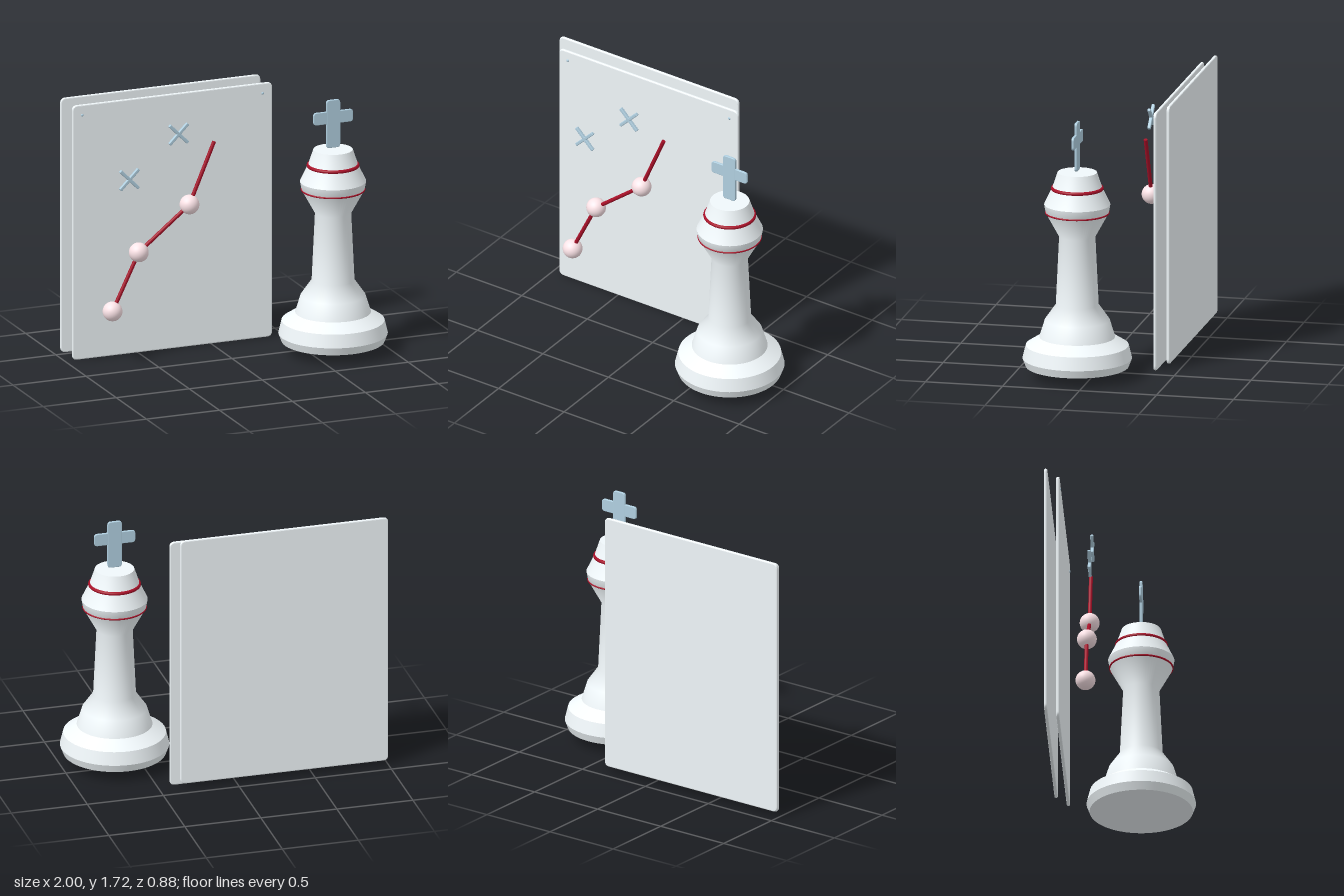
import * as THREE from 'three';
import { RoundedBoxGeometry } from 'three/addons/geometries/RoundedBoxGeometry.js';

const mat = (color) => new THREE.MeshStandardMaterial({ color });
const white = mat(0xf0f7fa);
const blue = mat(0xb0cfe0);
const red = mat(0xa81028);
const pink = mat(0xfce4e8);

function add(parent, name, geometry, material, x = 0, y = 0, z = 0) {
  const mesh = new THREE.Mesh(geometry, material);
  mesh.name = name;
  mesh.position.set(x, y, z);
  parent.add(mesh);
  return mesh;
}

// Extrudes a shape to a bevelled plate centred on z = 0
function plate(shape, depth, bevel) {
  const geo = new THREE.ExtrudeGeometry(shape, {
    depth: depth - 2 * bevel, bevelThickness: bevel, bevelSize: bevel,
    bevelOffset: -bevel, bevelSegments: 3, curveSegments: 8,
  });
  return geo.translate(0, 0, bevel - depth / 2);
}

// Outline with every corner rounded by radius r
function roundedOutline(corners, r) {
  const pts = corners.map(([x, y]) => new THREE.Vector2(x, y));
  const shape = new THREE.Shape();
  pts.forEach((p, i) => {
    const prev = pts[(i + pts.length - 1) % pts.length];
    const next = pts[(i + 1) % pts.length];
    const a = p.clone().add(prev.clone().sub(p).setLength(r));
    const b = p.clone().add(next.clone().sub(p).setLength(r));
    if (i === 0) shape.moveTo(a.x, a.y);
    else shape.lineTo(a.x, a.y);
    shape.quadraticCurveTo(p.x, p.y, b.x, b.y);
  });
  shape.closePath();
  return shape;
}

function createBoards() {
  const boards = new THREE.Group();
  boards.name = 'boards';
  const w = 0.684, h = 0.842;
  const outline = roundedOutline([[-w, -h], [w, -h], [w, h], [-w, h]], 0.035);
  const geo = plate(outline, 0.021, 0.008);
  add(boards, 'frontBoard', geo, white, -0.265, 0.847, -0.355);
  add(boards, 'backBoard', geo, white, -0.314, 0.882, -0.43);
  for (const x of [-0.883, 0.352]) {
    add(boards, 'boardPin', new THREE.SphereGeometry(0.01, 16, 12), blue, x, 1.622, -0.348);
  }
  return boards;
}

// Rods joining balls, with the last rod left open ended
function createRoute() {
  const route = new THREE.Group();
  route.name = 'route';
  const pts = [[-0.74, 0.35], [-0.56, 0.72], [-0.213, 0.996], [-0.044, 1.394]]
    .map(([x, y]) => new THREE.Vector3(x, y, -0.19));
  const up = new THREE.Vector3(0, 1, 0);
  for (let i = 0; i < 3; i++) {
    add(route, 'routeBall', new THREE.SphereGeometry(0.063, 32, 24), pink, ...pts[i]);
    const dir = pts[i + 1].clone().sub(pts[i]);
    const mid = pts[i].clone().add(pts[i + 1]).multiplyScalar(0.5);
    const rod = add(route, 'routeRod', new THREE.CylinderGeometry(0.0125, 0.0125, dir.length(), 16), red, ...mid);
    rod.quaternion.setFromUnitVectors(up, dir.normalize());
  }
  return route;
}

// Two flat bars crossed at right angles
function createMarker(x, y) {
  const marker = new THREE.Group();
  marker.name = 'crossMarker';
  for (const turn of [1, -1]) {
    const bar = add(marker, 'markerBar', new RoundedBoxGeometry(0.178, 0.021, 0.021, 2, 0.005), blue);
    bar.rotation.z = turn * Math.PI / 4;
  }
  marker.position.set(x, y, -0.169);
  return marker;
}

function createChessKing() {
  const king = new THREE.Group();
  king.name = 'chessKing';
  king.position.set(0.653, 0, 0.094);

  // Each section is smooth inside and meets the next at a crisp edge
  const sections = {
    underside: [[0, 0.076], [0.327, 0.076]],
    footChamfer: [[0.327, 0.076], [0.347, 0.128]],
    footRim: [[0.347, 0.128], [0.326, 0.213]],
    footShoulder: [[0.326, 0.213], [0.24, 0.267]],
    body: [[0.24, 0.267], [0.206, 0.377], [0.136, 0.477], [0.115, 0.922], [0.2, 1.077], [0.21, 1.132]],
    head: [[0.21, 1.132], [0.16, 1.236], [0.125, 1.341]],
    headTop: [[0.125, 1.341], [0, 1.341]],
  };
  for (const [name, profile] of Object.entries(sections)) {
    const pts = profile.map(([r, y]) => new THREE.Vector2(r, y));
    add(king, name, new THREE.LatheGeometry(pts, 64), white);
  }

  // Red collars
  for (const [name, y, r, tube] of [['upperCollar', 1.236, 0.156, 0.012], ['lowerCollar', 1.077, 0.199, 0.006]]) {
    const ring = new THREE.TorusGeometry(r, tube, 12, 64).rotateX(Math.PI / 2);
    add(king, name, ring, red, 0, y);
  }

  // Cross finial
  const a = 0.047, b = 0.135, y0 = 1.353, y1 = 1.512, y2 = 1.594, y3 = 1.669;
  const corner = 0.022;
  const upright = roundedOutline([[-a, y0], [a, y0], [a, y3], [-a, y3]], corner);
  const arms = roundedOutline([[-b, y1], [b, y1], [b, y2], [-b, y2]], corner);
  add(king, 'finialUpright', plate(upright, 0.018, 0.004), blue);
  add(king, 'finialArms', plate(arms, 0.017, 0.004), blue);
  return king;
}

export function createModel() {
  const model = new THREE.Group();
  model.name = 'strategyDisplay';
  model.add(
    createBoards(), createRoute(),
    createMarker(-0.296, 1.478), createMarker(-0.633, 1.216),
    createChessKing(),
  );
  return model;
}
